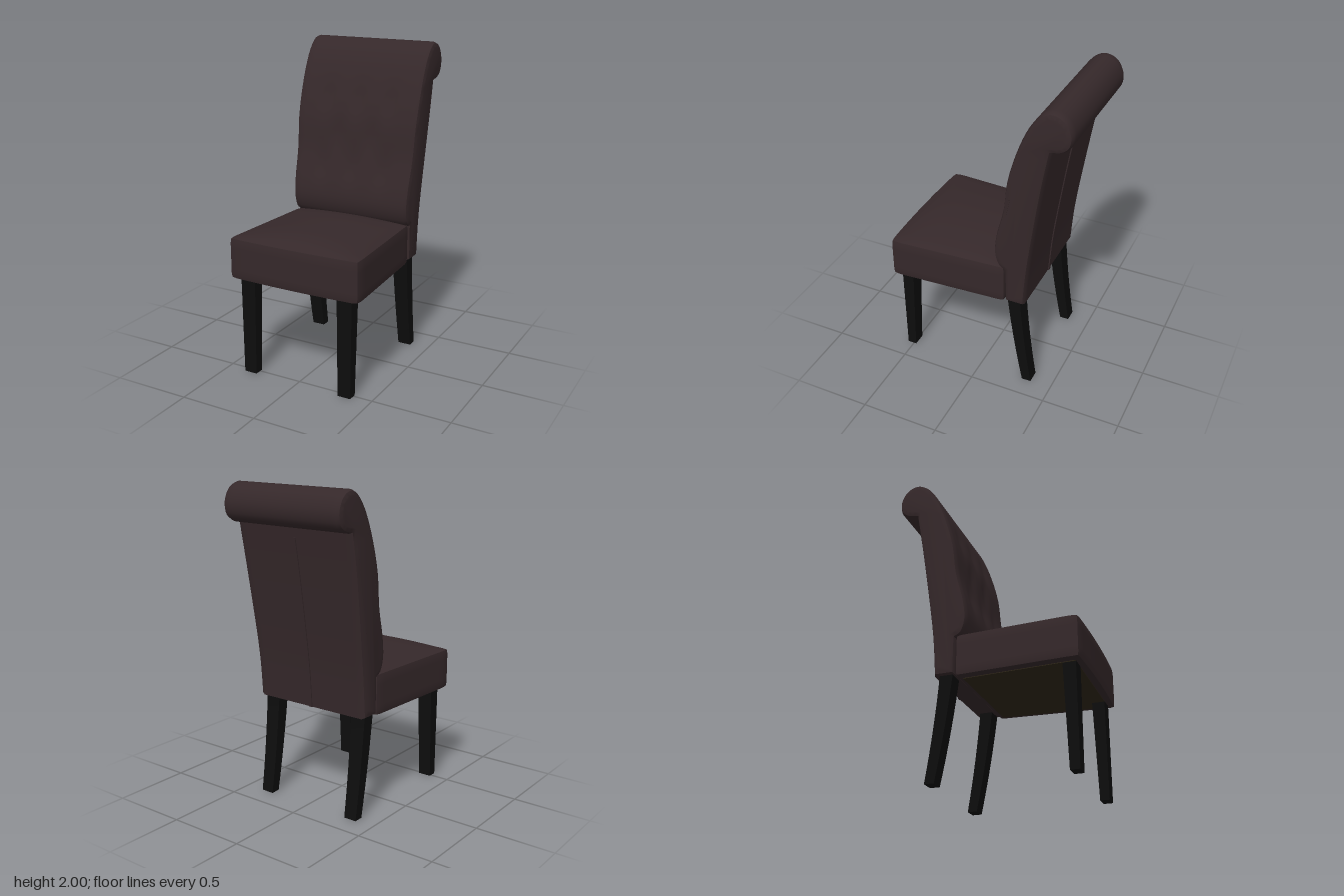
import * as THREE from 'three';
import { mergeVertices, toCreasedNormals } from 'three/addons/utils/BufferGeometryUtils.js';

const upholstery = new THREE.MeshStandardMaterial({ color: 0x35282a });
upholstery.name = 'dark brown leather';
const wood = new THREE.MeshStandardMaterial({ color: 0x0d0d0d });
wood.name = 'black wood';
const lining = new THREE.MeshStandardMaterial({ color: 0x2e2618 });
lining.name = 'olive lining';

// Move every vertex by a rule, then smooth all but the sharp edges
function reshape(geometry, rule, crease = 0.6) {
  geometry.deleteAttribute('uv');
  geometry.deleteAttribute('normal');
  const g = mergeVertices(geometry, 1e-4);
  const pos = g.attributes.position;
  const v = new THREE.Vector3();
  for (let i = 0; i < pos.count; i++) {
    rule(v.fromBufferAttribute(pos, i));
    pos.setXYZ(i, v.x, v.y, v.z);
  }
  return toCreasedNormals(g, crease);
}

function part(name, geometry, material) {
  const mesh = new THREE.Mesh(geometry, material);
  mesh.name = name;
  return mesh;
}

const vectors = (list) => list.map(([z, y]) => new THREE.Vector2(z, y));

// Extrude a (z, y) side profile across x, centred on x = 0
function extrudeAcross(shape, width, options) {
  const g = new THREE.ExtrudeGeometry(shape, { depth: width, bevelEnabled: false, ...options });
  g.translate(0, 0, -width / 2);
  g.rotateY(-Math.PI / 2);
  return g;
}

const rearCurve = [[-0.455, 1.7], [-0.42, 1.5], [-0.375, 1.2], [-0.335, 0.9], [-0.315, 0.64]];

// Leaning backrest that ends in a backward scroll
function makeBackrest() {
  const s = new THREE.Shape();
  s.moveTo(-0.19, 0.64);
  s.lineTo(-0.188, 0.87);
  s.splineThru(vectors([[-0.145, 0.9], [-0.12, 0.99], [-0.135, 1.12], [-0.18, 1.3], [-0.205, 1.5],
    [-0.26, 1.7], [-0.325, 1.86], [-0.39, 1.955], [-0.45, 1.995], [-0.51, 1.99], [-0.56, 1.95],
    [-0.587, 1.88], [-0.575, 1.81], [-0.53, 1.77], [-0.465, 1.755]]));
  s.lineTo(-0.455, 1.7);
  s.splineThru(vectors(rearCurve.slice(1)));
  s.closePath();
  const g = extrudeAcross(s, 0.8, {
    steps: 24, curveSegments: 3, bevelEnabled: true,
    bevelThickness: 0.028, bevelSize: 0.03, bevelOffset: -0.03, bevelSegments: 2,
  });
  const buttons = [];
  for (const [y, xs] of [[1.2, [-0.22, 0, 0.22]], [1.42, [-0.12, 0.12]], [1.64, [-0.22, 0, 0.22]]]) {
    for (const x of xs) buttons.push([x, y]);
  }
  return reshape(g, (v) => {
    // soft tufts pressed into the front face
    if (v.z > -0.22 - 0.2 * (v.y - 1) && v.y > 0.95) {
      for (const [x, y] of buttons) {
        v.z -= 0.014 * Math.exp(-(((v.x - x) / 0.05) ** 2) - ((v.y - y) / 0.08) ** 2);
      }
    }
    // slightly narrower towards the seat
    v.x *= 0.955 + 0.045 * THREE.MathUtils.smoothstep(v.y, 0.8, 1.7);
  });
}

// Raised seam running down the rear of the backrest
function makeSeam() {
  const s = new THREE.Shape();
  const outer = rearCurve.map(([z, y]) => [z - 0.007, y]);
  const inner = rearCurve.map(([z, y]) => [z + 0.01, y]).reverse();
  s.moveTo(...outer[0]);
  s.splineThru(vectors(outer.slice(1)));
  s.lineTo(...inner[0]);
  s.splineThru(vectors(inner.slice(1)));
  s.closePath();
  return extrudeAcross(s, 0.022, { curveSegments: 3 });
}

// Half width of the tapering seat, wider at the front
const seatHalfWidth = (z) => 0.4 + 0.04 * THREE.MathUtils.clamp((z + 0.18) / 0.68, 0, 1);

// Boxy cushion with softened edges and a domed top
function makeSeat() {
  const half = new THREE.Vector3(0.44, 0.13, 0.38);
  const radius = 0.022;
  const inner = half.clone().subScalar(radius);
  const core = new THREE.Vector3();
  const g = new THREE.BoxGeometry(half.x * 2, half.y * 2, half.z * 2, 20, 8, 20);
  return reshape(g, (v) => {
    const u = v.x / half.x, w = v.z / half.z, top = v.y > half.y - 0.001;
    core.copy(v).clamp(inner.clone().negate(), inner);
    v.sub(core).normalize().multiplyScalar(radius).add(core);
    if (top) v.y += 0.05 * (1 - u * u) * (1 - w ** 4) + 0.004;
    // gentle bulge along the front edge
    if (w > 0.99) v.z += 0.013 * (1 - u * u);
    v.z += 0.195;
    v.x *= seatHalfWidth(v.z) / half.x;
    v.y += 0.753;
  }, 0.7);
}

function makeLining() {
  const s = new THREE.Shape();
  s.moveTo(-0.35, -0.15);
  s.lineTo(0.35, -0.15);
  s.lineTo(0.39, 0.54);
  s.lineTo(-0.39, 0.54);
  s.closePath();
  const g = new THREE.ExtrudeGeometry(s, { depth: 0.006, bevelEnabled: false });
  g.rotateX(Math.PI / 2);
  g.translate(0, 0.625, 0);
  return g;
}

// Tapered square leg whose centre and depth follow functions of t (0 top, 1 foot)
function makeLeg(side, centreZ, depth) {
  const height = 0.66;
  const g = new THREE.BoxGeometry(1, height, 1, 1, 8, 1);
  return reshape(g, (v) => {
    const t = 0.5 - v.y / height;
    v.x = side * 0.333 + v.x * (0.1 - 0.015 * t);
    v.z = centreZ(t) + v.z * depth(t);
    v.y += height / 2;
  });
}

export function createModel() {
  const chair = new THREE.Group();
  chair.name = 'diningChair';
  chair.add(
    part('backrest', makeBackrest(), upholstery),
    part('backSeam', makeSeam(), upholstery),
    part('seat', makeSeat(), upholstery),
    part('seatLining', makeLining(), lining),
  );
  for (const [label, side] of [['left', 1], ['right', -1]]) {
    chair.add(
      part(`${label}FrontLeg`, makeLeg(side, (t) => 0.5 + 0.013 * t, (t) => 0.08 - 0.022 * t), wood),
      part(`${label}RearLeg`, makeLeg(side, (t) => -0.242 - 0.06 * t - 0.03 * t * t, (t) => 0.082 - 0.022 * t), wood),
    );
  }
  return chair;
}
